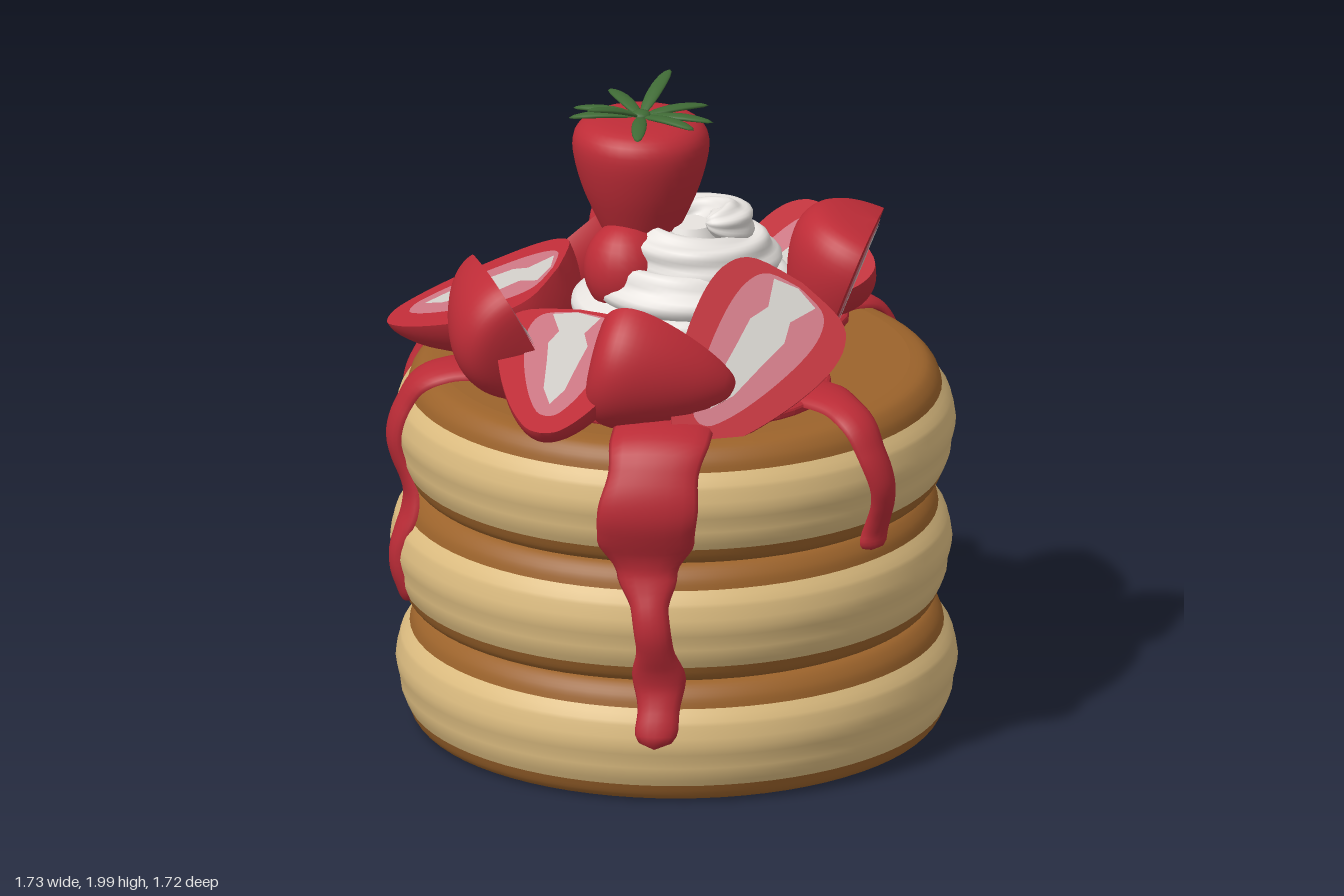
import * as THREE from 'three';

const mat = (name, color) => {
  const m = new THREE.MeshStandardMaterial({ color, side: THREE.DoubleSide });
  m.name = name;
  return m;
};
const V = (x, y, z) => new THREE.Vector3(x, y, z);

export function createModel() {
  const M = {
    tan: mat('pancakeSide', 0xdcbc80),
    brown: mat('pancakeCrust', 0x9c632b),
    red: mat('strawberryRed', 0xbe2c37),
    syrup: mat('syrupRed', 0xba2b36),
    pink: mat('fleshPink', 0xcb7682),
    core: mat('fleshCore', 0xcfccc7),
    cream: mat('whippedCream', 0xe9e5e1),
    leaf: mat('leafGreen', 0x3f6a35),
  };
  const root = new THREE.Group();
  root.name = 'pancakeStack';
  const add = (parent, name, geo, material) => {
    const mesh = new THREE.Mesh(geo, material);
    mesh.name = name;
    parent.add(mesh);
    return mesh;
  };
  const CX = 0.02, CZ = -0.02, H = 0.375;

  // Smooth 2D profile through a few points
  const smooth = (pts, n = 24) =>
    new THREE.SplineCurve(pts.map(p => new THREE.Vector2(...p))).getPoints(n)
      .map(p => p.set(Math.max(0, p.x), p.y));

  // Skin over closed rings of equal length
  const skin = rings => {
    const n = rings[0].length, pos = [], idx = [];
    rings.forEach(r => r.forEach(p => pos.push(p.x, p.y, p.z)));
    for (let j = 0; j < rings.length - 1; j++)
      for (let i = 0; i < n; i++) {
        const a = j * n + i, b = j * n + (i + 1) % n;
        idx.push(a, b, a + n, b, b + n, a + n);
      }
    const g = new THREE.BufferGeometry();
    g.setAttribute('position', new THREE.Float32BufferAttribute(pos, 3));
    g.setIndex(idx);
    g.computeVertexNormals();
    return g;
  };

  // Pancakes: hollow shells, only the uppermost is closed
  [0.02, 0.003, 0.014].forEach((x, k) => {
    const g = new THREE.Group();
    g.name = 'pancake' + (k + 1);
    g.position.set(x, k * H + 0.003, CZ);
    root.add(g);
    const part = (name, pts, m) => add(g, name, new THREE.LatheGeometry(smooth(pts, 12), 72), m);
    part('bottomCrust', [[0.70, 0], [0.76, 0.002], [0.79, 0.02], [0.808, 0.058]], M.brown);
    part('side', [[0.808, 0.058], [0.826, 0.10], [0.83, 0.14], [0.842, 0.19], [0.832, 0.24], [0.825, 0.265], [0.80, 0.30]], M.tan);
    part('topCrust', [[0.80, 0.30], [0.788, 0.335], [0.755, 0.368], [0.70, 0.378]], M.brown);
    if (k === 2) {
      const lid = add(g, 'topFace', new THREE.CircleGeometry(0.705, 72).rotateX(-Math.PI / 2), M.brown);
      lid.position.y = 0.378;
    }
  });

  // Syrup pool
  const pool = new THREE.Shape(new THREE.SplineCurve(
    [[0.1, 0.62], [0.4, 0.45], [0.5, 0.2], [0.42, -0.15], [0.45, -0.45], [0.28, -0.42], [0.12, -0.2], [-0.1, -0.24],
      [-0.38, -0.26], [-0.6, -0.2], [-0.56, 0.2], [-0.3, 0.5], [0.1, 0.62]]
      .map(([x, z]) => new THREE.Vector2(x, -z))).getPoints(60).slice(0, -1));
  add(root, 'syrupPool', new THREE.ExtrudeGeometry(pool, {
    depth: 0.012, bevelThickness: 0.012, bevelSize: 0.02, bevelSegments: 3,
  }).rotateX(-Math.PI / 2).translate(0, 1.136, 0), M.syrup);

  // Syrup drips that run over the rim and down the bulging sides, nearly flat at the back
  const drip = (theta, endY, widths) => {
    const path = [V(0.4, 1.14, 0), V(0.7, 1.14, 0), V(0.78, 1.105, 0)];
    const steps = Math.max(2, Math.round((1.04 - endY) / 0.06));
    for (let i = 0; i <= steps; i++) {
      const y = 1.04 + (endY + 0.01 - 1.04) * i / steps;
      path.push(V(0.822 + 0.025 * Math.cos(2 * Math.PI * (y - 0.19) / H), y, 0));
    }
    const curve = new THREE.CatmullRomCurve3(path);
    const dir = V(Math.sin(theta), 0, Math.cos(theta)), side = V(Math.cos(theta), 0, -Math.sin(theta));
    const rings = [], N = 64;
    for (let j = 0; j <= N; j++) {
      const u = j / N, p = curve.getPointAt(u), t = curve.getTangentAt(u);
      const f = u * (widths.length - 1), i = Math.min(widths.length - 2, Math.floor(f));
      const round = Math.sqrt(Math.max(0, 1 - Math.max(0, (u - 0.95) / 0.05) ** 2));
      const w = THREE.MathUtils.lerp(widths[i], widths[i + 1], THREE.MathUtils.smoothstep(f - i, 0, 1)) * round + 0.001;
      const thick = Math.min(0.034, w * 0.75), ring = [];
      const sway = 0.02 * Math.sin(u * 9);
      for (let s = 0; s < 16; s++) {
        const a = s / 16 * 2 * Math.PI, c = Math.cos(a), o = thick * (c < 0 ? 0.1 * c : c);
        const r = p.x - t.y * o, y = p.y + t.x * o;
        ring.push(V(CX, y, CZ).addScaledVector(dir, r).addScaledVector(side, w * Math.sin(a) + sway));
      }
      rings.push(ring);
    }
    add(root, 'syrupDrip', skin(rings), M.syrup);
  };
  drip(0.075, 0.18, [0.16, 0.15, 0.15, 0.15, 0.135, 0.15, 0.145, 0.09, 0.055, 0.055, 0.08, 0.062, 0.068]);
  drip(0.97, 0.71, [0.13, 0.1, 0.07, 0.055, 0.045, 0.055]);
  drip(2.47, 0.54, [0.13, 0.11, 0.08, 0.055, 0.05, 0.065, 0.04, 0.05]);
  drip(-1.22, 0.41, [0.14, 0.12, 0.09, 0.06, 0.055, 0.075, 0.045, 0.055]);
  drip(-1.82, 0.84, [0.13, 0.1, 0.07, 0.055, 0.055]);

  // Whipped cream: ridged, twisting tube wound into a swirl
  const swirl = [];
  for (let j = 0; j <= 220; j++) {
    const u = j / 220, a = u * 6.4 * Math.PI, R = 0.225 - 0.15 * u ** 2.2;
    const tube = 0.12 * (1 - 0.5 * u) * Math.min(1, Math.sqrt((1 - u) * 18));
    const ring = [];
    for (let s = 0; s < 36; s++) {
      const f = s / 36 * 2 * Math.PI;
      const r = tube * (1 + 0.11 * Math.cos(6 * f + u * 30));
      const q = R + r * Math.cos(f);
      ring.push(V(0.045 + 0.06 * u + q * Math.cos(a), 1.26 + 0.355 * u + r * Math.sin(f), 0.04 + q * Math.sin(a)));
    }
    swirl.push(ring);
  }
  add(root, 'whippedCream', skin(swirl), M.cream);
  add(root, 'creamFilling', new THREE.CylinderGeometry(0.07, 0.24, 0.44, 32).translate(0.07, 1.37, 0.04), M.cream);

  // Strawberry outlines from tip to shoulder, radius and height both in 0..1
  const plump = [[0, 0], [0.25, 0.035], [0.56, 0.2], [0.84, 0.45], [1, 0.7], [0.95, 0.87], [0.68, 0.965], [0, 1]];
  const conical = [[0, 0], [0.2, 0.03], [0.42, 0.2], [0.67, 0.4], [0.88, 0.6], [1, 0.8], [0.94, 0.92], [0.65, 0.985], [0, 1]];
  const berryProfile = (pts, r, l) => smooth(pts, 28).map(p => new THREE.Vector2(p.x * r, p.y * l));
  const mirrored = pts => new THREE.ShapeGeometry(new THREE.Shape(
    [...pts, ...pts.slice(1, -1).reverse().map(p => new THREE.Vector2(-p.x, p.y))]));

  // Halved strawberry, given its tip, shoulder, cut direction and half width
  const half = (tip, top, n, r) => {
    const a = V(...tip), y = V(...top).sub(a), l = y.length();
    y.normalize();
    const z = V(...n);
    z.addScaledVector(y, -z.dot(y)).normalize();
    const g = new THREE.Group();
    g.name = 'halfStrawberry';
    g.quaternion.setFromRotationMatrix(new THREE.Matrix4().makeBasis(y.clone().cross(z), y, z));
    g.position.copy(a);
    root.add(g);
    const outline = berryProfile(plump, r, l);
    add(g, 'skin', new THREE.LatheGeometry(outline, 28, Math.PI / 2, Math.PI), M.red);
    add(g, 'cutFace', mirrored(outline), M.red);
    const flesh = outline.map(p => new THREE.Vector2(p.x * 0.62, l * 0.13 + p.y * 0.84));
    add(g, 'flesh', mirrored(flesh), M.pink).position.z = 0.004;
    const core = [[0, 0.22], [0.15, 0.34], [0.22, 0.55], [0.28, 0.7], [0.18, 0.8], [0.34, 0.93], [0, 0.96]]
      .map(([cx, cy]) => new THREE.Vector2(cx * r, cy * l));
    add(g, 'core', mirrored(core), M.core).position.z = 0.008;
  };
  half([0.45, 1.14, 0.01], [0.635, 1.62, 0.01], [0.94, -0.33, 0], 0.22);
  half([0.16, 1.12, 0.70], [0.45, 1.50, 0.27], [0.32, 0.6, 0.73], 0.225);
  half([-0.25, 1.18, 0.83], [-0.22, 1.39, 0.31], [0, 0.9, 0.42], 0.215);
  half([0.29, 1.25, 0.53], [-0.14, 1.35, 0.53], [0, 0.45, -0.89], 0.215);
  half([-0.57, 1.43, 0.08], [-0.32, 1.31, 0.49], [0.75, 0.45, -0.35], 0.215);
  half([-0.87, 1.18, -0.11], [-0.33, 1.42, 0.03], [-0.38, 0.9, 0.1], 0.225);
  half([-0.53, 1.24, -0.15], [-0.26, 1.38, -0.49], [-0.52, 0.66, -0.45], 0.215);
  half([-0.03, 1.2, -0.25], [-0.15, 1.40, -0.68], [0.3, 0.78, 0.5], 0.215);
  half([0.11, 1.23, -0.24], [0.47, 1.40, -0.51], [-0.2, 0.72, 0.5], 0.215);

  // Berries tucked against the cream
  const tucked = (x, y, z, r) => {
    add(root, 'tuckedStrawberry', new THREE.SphereGeometry(r, 24, 16).scale(1, 1.15, 1), M.red).position.set(x, y, z);
  };
  tucked(-0.11, 1.47, 0.14, 0.125);
  tucked(-0.25, 1.22, 0.18, 0.085);
  tucked(0.35, 1.21, -0.19, 0.085);

  // Whole strawberry with leafy crown
  const whole = new THREE.Group();
  whole.name = 'wholeStrawberry';
  whole.position.set(-0.08, 1.4, 0.035);
  root.add(whole);
  add(whole, 'berry', new THREE.LatheGeometry(berryProfile(conical, 0.205, 0.52), 40), M.red);
  const lifts = [-0.02, 0.03, 0.36, 0.08, 0, 0.05, 0.34, 0, 0.06];
  lifts.forEach((lift, i) => {
    const geo = new THREE.SphereGeometry(1, 14, 8).scale(0.108, 0.009, 0.023).translate(0.112, 0, 0);
    const pos = geo.attributes.position;
    // Bend each leaf along its length
    for (let v = 0; v < pos.count; v++) {
      const x = pos.getX(v);
      pos.setY(v, pos.getY(v) + x * lift + 0.9 * x * (0.22 - x));
    }
    geo.computeVertexNormals();
    const leaf = add(whole, 'leaf', geo, M.leaf);
    leaf.position.y = 0.512;
    leaf.rotation.y = i / lifts.length * 2 * Math.PI + 0.13 * Math.sin(i * 5);
  });
  add(whole, 'crownCentre', new THREE.SphereGeometry(0.03, 14, 8).scale(1, 0.5, 1).translate(0, 0.52, 0), M.leaf);

  return root;
}
